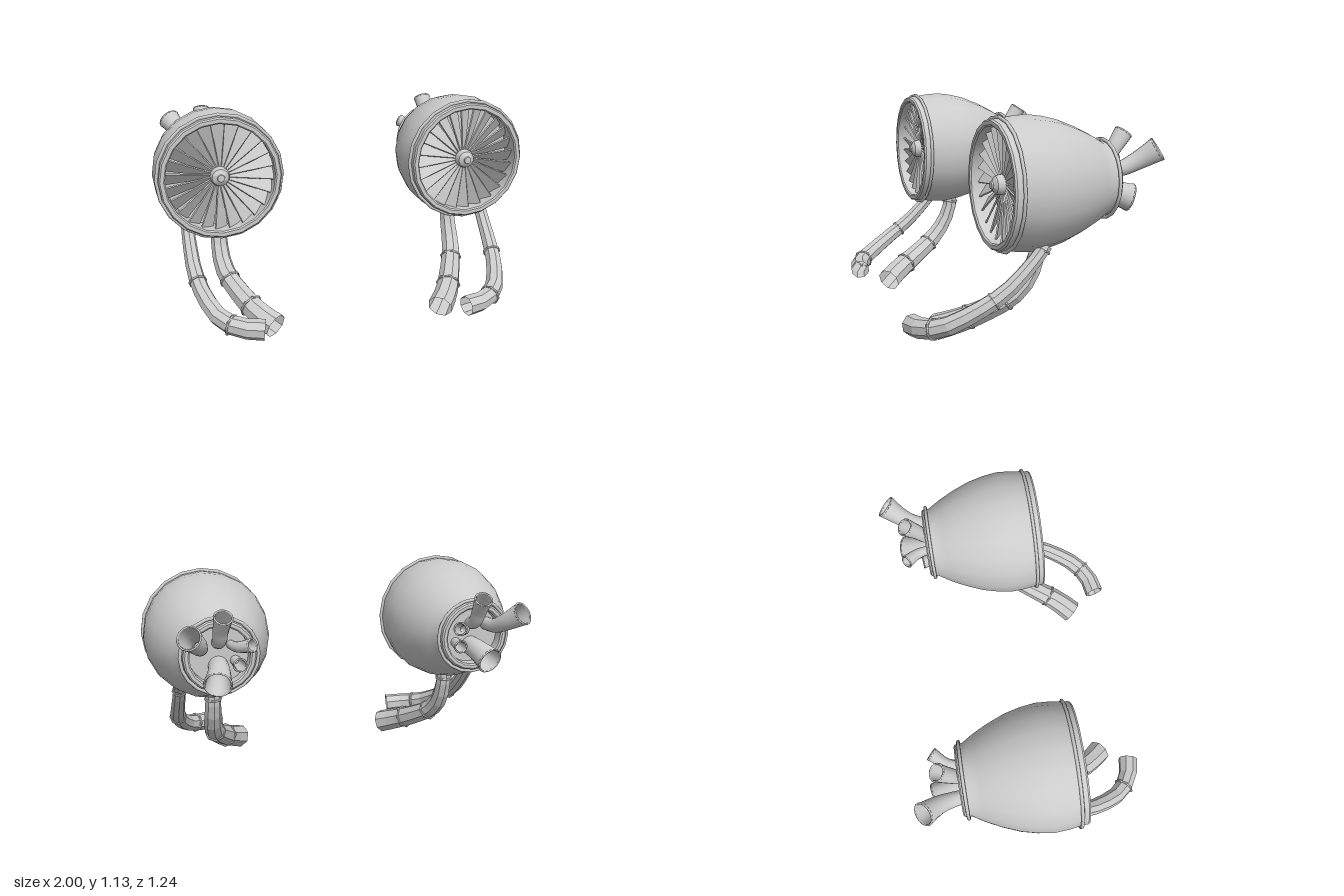
import * as THREE from 'three';
import { toCreasedNormals } from 'three/addons/utils/BufferGeometryUtils.js';

const smooth = new THREE.MeshStandardMaterial({ color: 0xcccccc, side: THREE.DoubleSide });
const flat = new THREE.MeshStandardMaterial({ color: 0xcccccc, side: THREE.DoubleSide, flatShading: true });

function add(parent, name, geometry, material = smooth) {
  const mesh = new THREE.Mesh(geometry, material);
  mesh.name = name;
  parent.add(mesh);
  return mesh;
}

// Profile of [radius, z] pairs turned around the z axis
function turned(profile, sides = 20) {
  const geo = new THREE.LatheGeometry(profile.map(([r, z]) => new THREE.Vector2(r, z)), sides);
  return toCreasedNormals(geo.rotateX(Math.PI / 2), 0.6);
}

// Smooth curve through points, mirrored in x for the right engine
function path(points, side) {
  return new THREE.CatmullRomCurve3(points.map(([x, y, z]) => new THREE.Vector3(x * side, y, z)));
}

// Open tube whose radius follows a rule along its length
function sweep(curve, segments, sides, radiusAt) {
  const geo = new THREE.TubeGeometry(curve, segments, 1, sides);
  const pos = geo.attributes.position;
  const v = new THREE.Vector3();
  for (let i = 0; i <= segments; i++) {
    const centre = curve.getPointAt(i / segments);
    for (let j = 0; j <= sides; j++) {
      const k = i * (sides + 1) + j;
      v.fromBufferAttribute(pos, k).sub(centre).multiplyScalar(radiusAt(i / segments)).add(centre);
      pos.setXYZ(k, v.x, v.y, v.z);
    }
  }
  return geo;
}

// Intake hoses under the engine, relative to the engine axis
const hoses = [
  { name: 'outerHose', r0: 0.033, r1: 0.054, bands: [0.03, 0.42, 0.8],
    points: [[0.16, -0.27, 0], [0.16, -0.36, 0.075], [0.155, -0.48, 0.2], [0.13, -0.565, 0.33],
      [0.06, -0.65, 0.48], [-0.03, -0.675, 0.55], [-0.135, -0.685, 0.575]] },
  { name: 'innerHose', r0: 0.04, r1: 0.067, bands: [0.06, 0.47, 0.75],
    points: [[-0.01, -0.29, -0.035], [-0.01, -0.39, -0.02], [-0.012, -0.49, 0.03], [-0.03, -0.565, 0.1],
      [-0.09, -0.645, 0.23], [-0.15, -0.7, 0.34], [-0.22, -0.742, 0.425]] },
];

// Flared exhaust horns at the back
const horns = [
  { r0: 0.034, r1: 0.064, points: [[0.085, 0.05, -0.3], [0.1, 0.06, -0.42], [0.125, 0.1, -0.5], [0.17, 0.155, -0.575]] },
  { r0: 0.033, r1: 0.05, points: [[0, 0.05, -0.3], [0, 0.08, -0.385], [0, 0.145, -0.43], [-0.005, 0.22, -0.485]] },
  { r0: 0.05, r1: 0.073, points: [[0, -0.06, -0.3], [0.01, -0.068, -0.4], [0.02, -0.08, -0.45], [0.035, -0.1, -0.51]] },
  { r0: 0.022, r1: 0.038, points: [[-0.06, 0.04, -0.3], [-0.07, 0.05, -0.4], [-0.09, 0.06, -0.45], [-0.135, 0.08, -0.505]] },
  { r0: 0.025, r1: 0.038, points: [[-0.08, -0.04, -0.3], [-0.085, -0.04, -0.36], [-0.09, -0.04, -0.42]] },
];

function makeEngine(side) {
  const engine = new THREE.Group();
  engine.name = side > 0 ? 'leftEngine' : 'rightEngine';

  // Housing with a recess at both ends
  add(engine, 'housing', turned([
    [0, -0.33], [0.15, -0.33], [0.15, -0.385], [0.158, -0.392], [0.174, -0.392], [0.182, -0.385],
    [0.185, -0.35], [0.222, -0.29], [0.262, -0.21], [0.298, -0.12], [0.318, -0.04], [0.329, 0.04],
    [0.325, 0.11], [0.314, 0.18], [0.313, 0.21], [0.306, 0.219], [0.287, 0.219], [0.28, 0.212],
    [0.28, 0.09], [0, 0.09]]));
  for (const [name, r, z] of [['frontBand', 0.321, 0.177], ['rearBand', 0.194, -0.368]]) {
    add(engine, name, new THREE.TorusGeometry(r, 0.009, 8, 20)).position.z = z;
  }

  // Fan: tapered, pitched blades round a domed hub
  const fan = new THREE.Group();
  fan.name = 'fan';
  engine.add(fan);
  const blade = new THREE.BoxGeometry(0.085, 0.25, 0.008);
  const pos = blade.attributes.position;
  for (let i = 0; i < pos.count; i++) {
    if (pos.getY(i) < 0) pos.setX(i, pos.getX(i) * 0.25);
  }
  blade.rotateY(0.65 * side).translate(0, 0.153, 0.15);
  const bladeCount = 24;
  for (let i = 0; i < bladeCount; i++) {
    add(fan, 'fanBlade', blade, flat).rotation.z = (i / bladeCount) * Math.PI * 2;
  }
  add(fan, 'fanHub', turned([[0.05, 0.09], [0.05, 0.175], [0.043, 0.195], [0.02, 0.21], [0.018, 0.218], [0, 0.22]], 16));

  // Faceted hoses with clamping bands
  for (const { name, r0, r1, bands, points } of hoses) {
    const hose = new THREE.Group();
    hose.name = name;
    engine.add(hose);
    const curve = path(points, side);
    const radiusAt = (t) => THREE.MathUtils.lerp(r0, r1, t);
    add(hose, 'hoseTube', sweep(curve, 10, 8, radiusAt), flat);
    for (const t of bands) {
      const band = add(hose, 'hoseBand', new THREE.TorusGeometry(radiusAt(t) + 0.001, 0.007, 6, 8), flat);
      const p = curve.getPointAt(t);
      band.quaternion.setFromUnitVectors(new THREE.Vector3(0, 0, 1), curve.getTangentAt(t));
      band.position.copy(p);
    }
  }

  // Horns, each with a thin inner wall and a rounded lip
  for (const { r0, r1, points } of horns) {
    const horn = new THREE.Group();
    horn.name = 'exhaustHorn';
    engine.add(horn);
    const curve = path(points, side);
    const radiusAt = (t) => r0 + (r1 - r0 - 0.003) * t * t;
    add(horn, 'hornOuter', sweep(curve, 14, 16, radiusAt));
    add(horn, 'hornInner', sweep(curve, 14, 16, (t) => radiusAt(t) - 0.007));
    const lip = add(horn, 'hornLip', new THREE.TorusGeometry(radiusAt(1) - 0.0035, 0.005, 6, 16));
    lip.quaternion.setFromUnitVectors(new THREE.Vector3(0, 0, 1), curve.getTangentAt(1));
    lip.position.copy(curve.getPointAt(1));
  }

  engine.position.set(0.67 * side, 0.81, 0);
  return engine;
}

export function createModel() {
  const model = new THREE.Group();
  model.name = 'twinEngines';
  for (const side of [1, -1]) model.add(makeEngine(side));
  return model;
}
